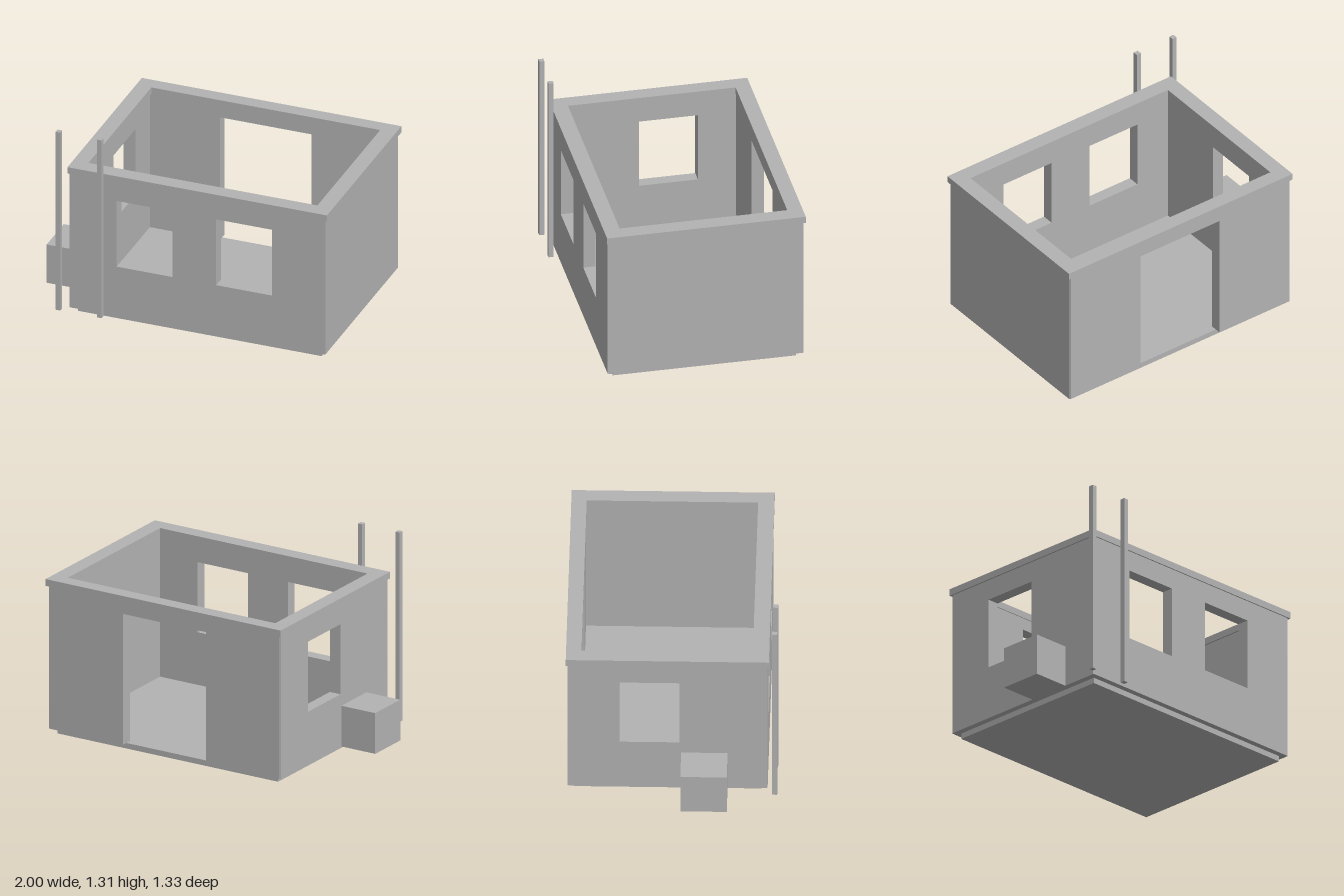
import * as THREE from 'three';

export function createModel() {
  const model = new THREE.Group();
  model.name = 'smallHouseShell';
  const grey = new THREE.MeshStandardMaterial({ color: 0xb2b2b2 });
  grey.name = 'plain grey';

  const add = (name, geometry) => {
    const mesh = new THREE.Mesh(geometry, grey);
    mesh.name = name;
    model.add(mesh);
    return mesh;
  };

  // Box given by its lower and upper limits
  const box = (name, x0, x1, y0, y1, z0, z1) =>
    add(name, new THREE.BoxGeometry(x1 - x0, y1 - y0, z1 - z0)
      .translate((x0 + x1) / 2, (y0 + y1) / 2, (z0 + z1) / 2));

  const rect = (Type, a0, a1, b0, b1) => {
    const s = new Type();
    s.moveTo(a0, b0);
    s.lineTo(a1, b0);
    s.lineTo(a1, b1);
    s.lineTo(a0, b1);
    s.closePath();
    return s;
  };
  const extrude = (shape, depth) =>
    new THREE.ExtrudeGeometry(shape, { depth, bevelEnabled: false });

  const bottom = 0.037, top = 0.995, thick = 0.08;
  const sill = 0.39, head = 0.86;

  // Floor slab, set back under the walls
  box('floorSlab', -0.705, 0.945, 0, bottom, -0.615, 0.565);

  // Front wall with two windows
  const front = rect(THREE.Shape, -0.742, 0.98, bottom, top);
  for (const [x0, x1] of [[-0.427, -0.05], [0.247, 0.624]]) {
    front.holes.push(rect(THREE.Path, x0, x1, sill, head));
  }
  add('frontWall', extrude(front, thick).translate(0, 0, 0.605 - thick));

  // Back wall with a doorway open to the floor
  const back = new THREE.Shape();
  const outline = [[-0.742, bottom], [-0.193, bottom], [-0.193, 0.915], [0.428, 0.915],
    [0.428, bottom], [0.98, bottom], [0.98, top], [-0.742, top]];
  back.setFromPoints(outline.map(([x, y]) => new THREE.Vector2(x, y)));
  add('backWall', extrude(back, thick).translate(0, 0, -0.655));

  // Side walls, a hair proud of the front and back walls at the corners
  box('leftWall', 0.985 - thick, 0.985, bottom, top, -0.651, 0.601);
  const side = rect(THREE.Shape, -0.601, 0.651, bottom, top); // first axis is -z
  side.holes.push(rect(THREE.Path, -0.05, 0.33, sill, head));
  add('rightWall', extrude(side, thick).rotateY(Math.PI / 2).translate(-0.747, 0, 0));

  // Flat rim capping the walls
  const rim = rect(THREE.Shape, -0.757, 1, -0.613, 0.667);
  rim.holes.push(rect(THREE.Path, -0.655, 0.895, -0.51, 0.57));
  add('roofRim', extrude(rim, 0.045).rotateX(-Math.PI / 2).translate(0, top, 0));

  // Block against the right wall
  box('sideBlock', -1, -0.747, bottom, 0.31, 0.06, 0.353);

  // Two free-standing posts
  for (const x of [-0.8, -0.52]) {
    box('post', x - 0.016, x + 0.016, bottom, 1.308, 0.634, 0.667);
  }
  return model;
}
